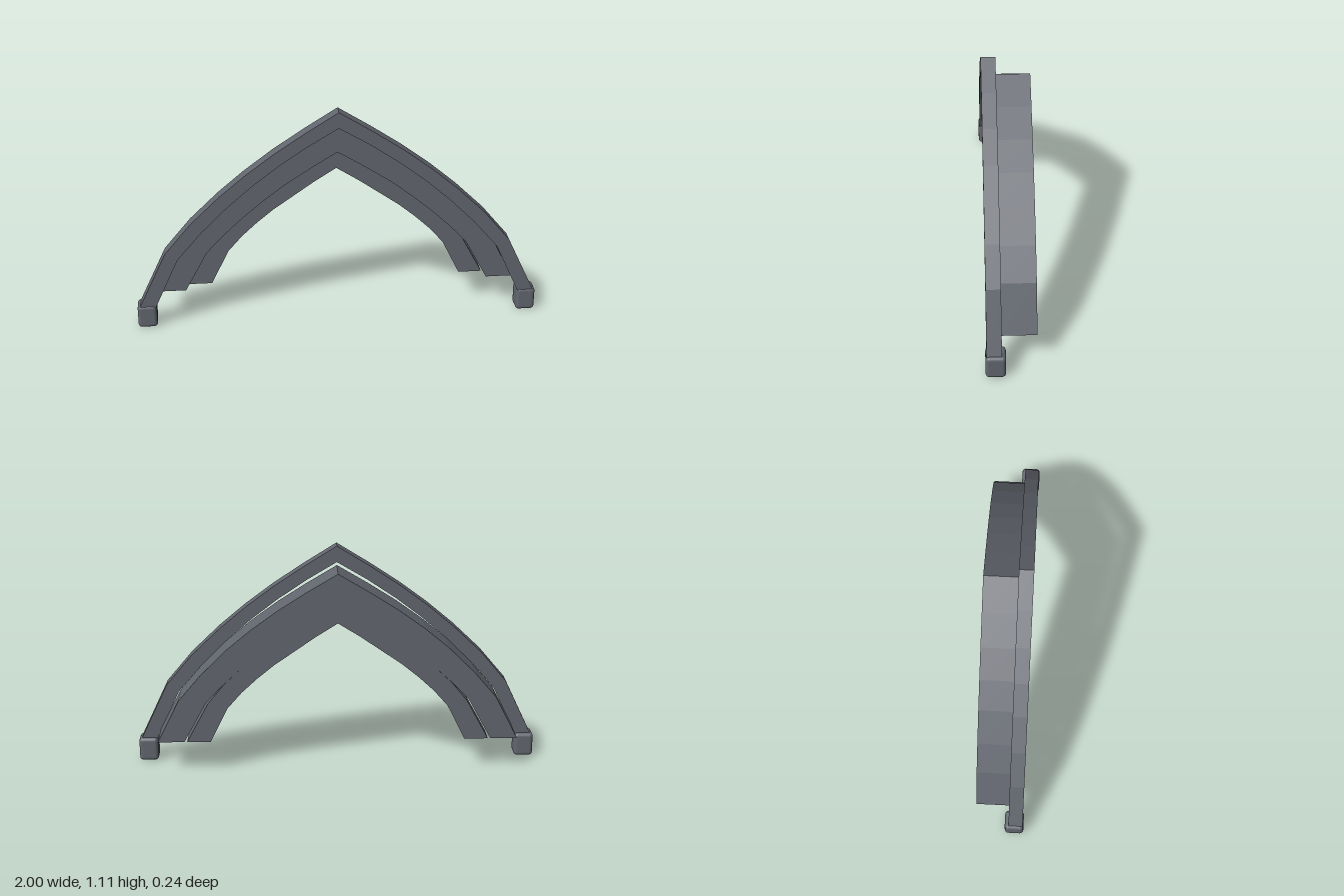
import * as THREE from 'three';
import { RoundedBoxGeometry } from 'three/addons/geometries/RoundedBoxGeometry.js';

// Extrude a pointed arch between half outlines listed from apex to foot.
function archGeometry(outer, inner, zBack, zFront) {
  const mirror = pts => pts.slice(1).map(([x, y]) => [-x, y]);
  const points = [
    ...mirror(outer).reverse(), ...outer,
    ...inner.slice().reverse(), ...mirror(inner),
  ].map(([x, y]) => new THREE.Vector2(x, y));
  const geometry = new THREE.ExtrudeGeometry(new THREE.Shape(points), {
    depth: zFront - zBack, bevelEnabled: false,
  });
  return geometry.translate(0, 0, zBack);
}

export function createModel() {
  const group = new THREE.Group();
  const flat = new THREE.MeshStandardMaterial({ color: 0x62666e, flatShading: true });
  const smooth = new THREE.MeshStandardMaterial({ color: 0x62666e });

  function add(name, geometry, material) {
    const mesh = new THREE.Mesh(geometry, material);
    mesh.name = name;
    group.add(mesh);
    return mesh;
  }

  // Slim front trim
  add('frontTrim', archGeometry(
    [[0, 1.11], [0.16, 1.01], [0.31, 0.91], [0.45, 0.805], [0.58, 0.695], [0.72, 0.56], [0.85, 0.405], [0.99, 0.11]],
    [[0, 1.03], [0.15, 0.94], [0.29, 0.845], [0.42, 0.745], [0.54, 0.64], [0.67, 0.51], [0.79, 0.37], [0.91, 0.11]],
    0.045, 0.115), flat);

  // Deep main arch behind the trim
  add('mainArch', archGeometry(
    [[0, 1.015], [0.15, 0.925], [0.29, 0.835], [0.42, 0.74], [0.54, 0.64], [0.67, 0.51], [0.78, 0.38], [0.89, 0.163]],
    [[0, 0.88], [0.13, 0.80], [0.26, 0.715], [0.37, 0.63], [0.47, 0.545], [0.56, 0.46], [0.645, 0.37], [0.758, 0.163]],
    -0.12, 0.045), flat);

  // Inner arch, set back from the front of the main arch
  add('innerArch', archGeometry(
    [[0, 0.88], [0.13, 0.80], [0.26, 0.715], [0.37, 0.63], [0.47, 0.545], [0.56, 0.458], [0.637, 0.363], [0.745, 0.163]],
    [[0, 0.77], [0.11, 0.70], [0.21, 0.63], [0.31, 0.56], [0.395, 0.49], [0.47, 0.42], [0.54, 0.34], [0.628, 0.163]],
    -0.12, -0.018), flat);

  // Rounded feet under the trim
  for (const [name, side] of [['leftFoot', 1], ['rightFoot', -1]]) {
    add(name, new RoundedBoxGeometry(0.095, 0.12, 0.094, 3, 0.018), smooth)
      .position.set(side * 0.9525, 0.062, 0.073);
  }

  return group;
}
